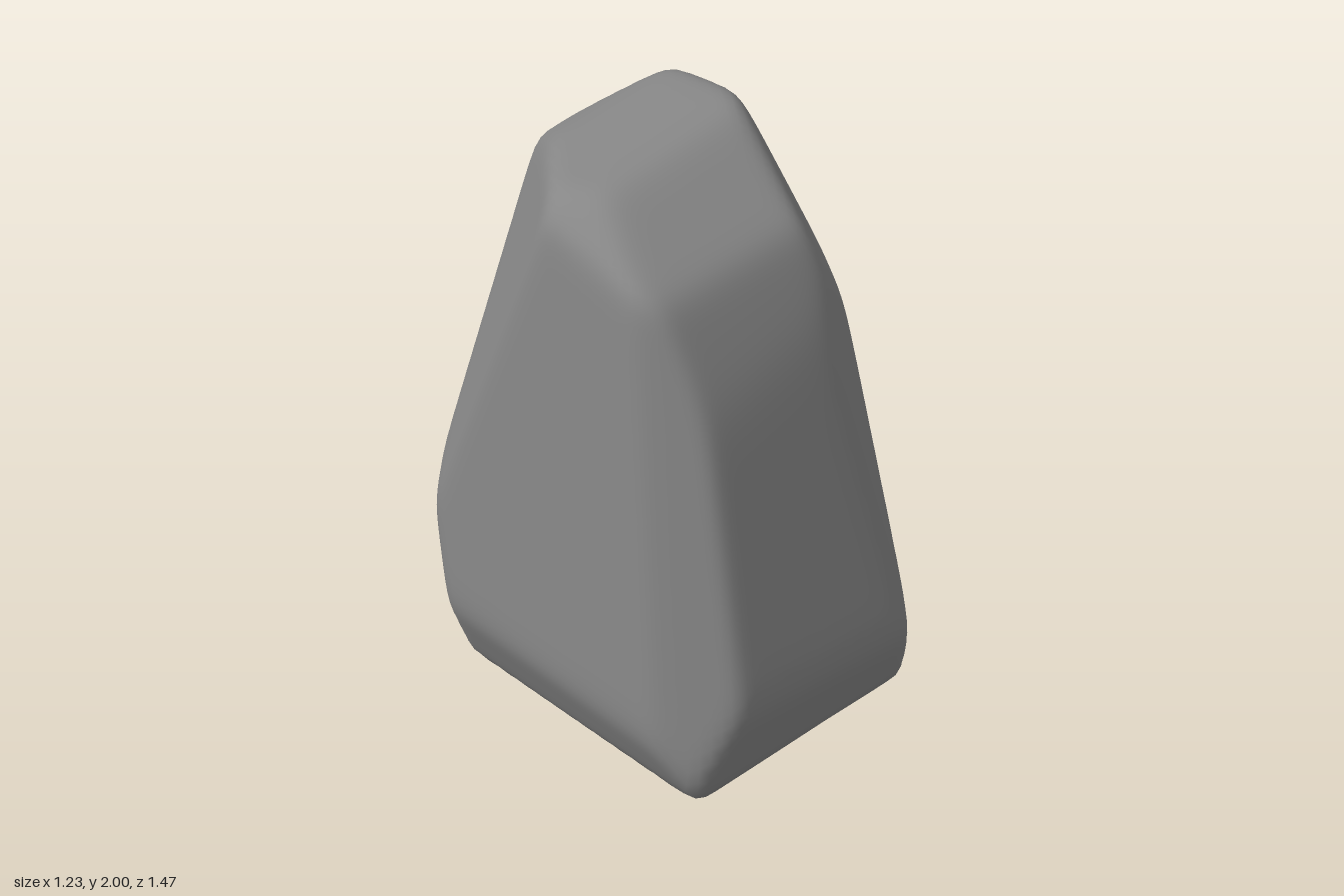
import * as THREE from 'three';
import { mergeVertices } from 'three/addons/utils/BufferGeometryUtils.js';

// Facets of the stone: outward direction, then a point on the facet
const FACETS = [
  [[0.03, -1, 0], [0, 0.012, 0]],                // base
  [[-0.13, 1, -0.05], [0.25, 2.005, 0]],         // crown
  [[-0.05, 0.8, 0.55], [0, 1.975, 0.04]],        // sloping front shoulder
  [[-0.15, 0.85, -0.5], [0.35, 1.98, -0.42]],    // rear crown bevel
  [[-1, 0.08, 0.03], [-0.615, 0.28, -0.1]],      // -x side
  [[-0.7, 0.7, 0.2], [-0.46, 1.84, 0.05]],       // -x shoulder
  [[-0.9, -0.4, 0], [-0.62, 0.28, 0]],           // -x undercut
  [[1, 0.075, 0.07], [0.62, 0.07, 0]],           // +x side, front half
  [[1, 0.075, -0.06], [0.62, 0.07, 0]],          // +x side, rear half
  [[1, 0.13, 0], [0.425, 1.9, 0]],               // +x side, upper
  [[0.7, 0.7, 0], [0.39, 1.97, -0.2]],           // +x shoulder
  [[0.05, 0.2, 1], [0, 0.6, 0.685]],             // front
  [[0, 0.43, 1], [0, 1.5, 0.49]],                // upper front
  [[0, -0.3, 1], [0, 0.25, 0.715]],              // front undercut
  [[0.4, 0.25, 0.88], [0.3, 1, 0.58]],           // front, turned to +x
  [[0.8, 0.5, 0.55], [0.41, 1.8, 0.02]],         // front +x corner, upper
  [[0.8, 0.19, 0.55], [0.45, 1.4, 0.29]],        // front +x corner, middle
  [[0.85, 0, 0.5], [0.565, 0.3, 0.48]],          // front +x corner, low
  [[-0.8, 0.14, 0.6], [-0.5, 0.5, 0.6]],         // front -x corner
  [[-0.05, 0.1, -1], [0.1, 0, -0.745]],          // back
  [[0.32, 0.2, -0.93], [0.2, 1.85, -0.515]],     // back, turned to +x
  [[0.5, -0.22, -0.85], [0.61, 0.05, -0.49]],    // low back +x corner
  [[-0.78, 0.33, -0.63], [-0.25, 1.89, -0.32]],  // long back -x corner
  [[-0.55, -0.12, -0.8], [-0.4, 0.3, -0.62]],    // low back -x corner
];
const SHARPNESS = 48;

function stoneGeometry() {
  const centre = new THREE.Vector3(0, 0.95, 0);
  const planes = FACETS.map(([n, p]) => {
    const normal = new THREE.Vector3(...n).normalize();
    return { normal, reach: new THREE.Vector3(...p).sub(centre).dot(normal) };
  });

  // Push a sphere out to the softly rounded intersection of all facets
  const sphere = new THREE.IcosahedronGeometry(1, 36);
  sphere.deleteAttribute('normal');
  sphere.deleteAttribute('uv');
  const geometry = mergeVertices(sphere, 1e-5);
  const pos = geometry.attributes.position;
  const v = new THREE.Vector3();
  for (let i = 0; i < pos.count; i++) {
    v.fromBufferAttribute(pos, i).normalize();
    let sum = 0;
    for (const { normal, reach } of planes) {
      sum += Math.pow(Math.max(0, v.dot(normal)) / reach, SHARPNESS);
    }
    v.multiplyScalar(Math.pow(sum, -1 / SHARPNESS)).add(centre);
    pos.setXYZ(i, v.x, v.y, v.z);
  }
  geometry.computeVertexNormals();
  return geometry;
}

export function createModel() {
  const group = new THREE.Group();
  group.name = 'boulder';
  const stone = new THREE.Mesh(
    stoneGeometry(),
    new THREE.MeshStandardMaterial({ color: 0x868686 })
  );
  stone.name = 'stone';
  group.add(stone);
  return group;
}
